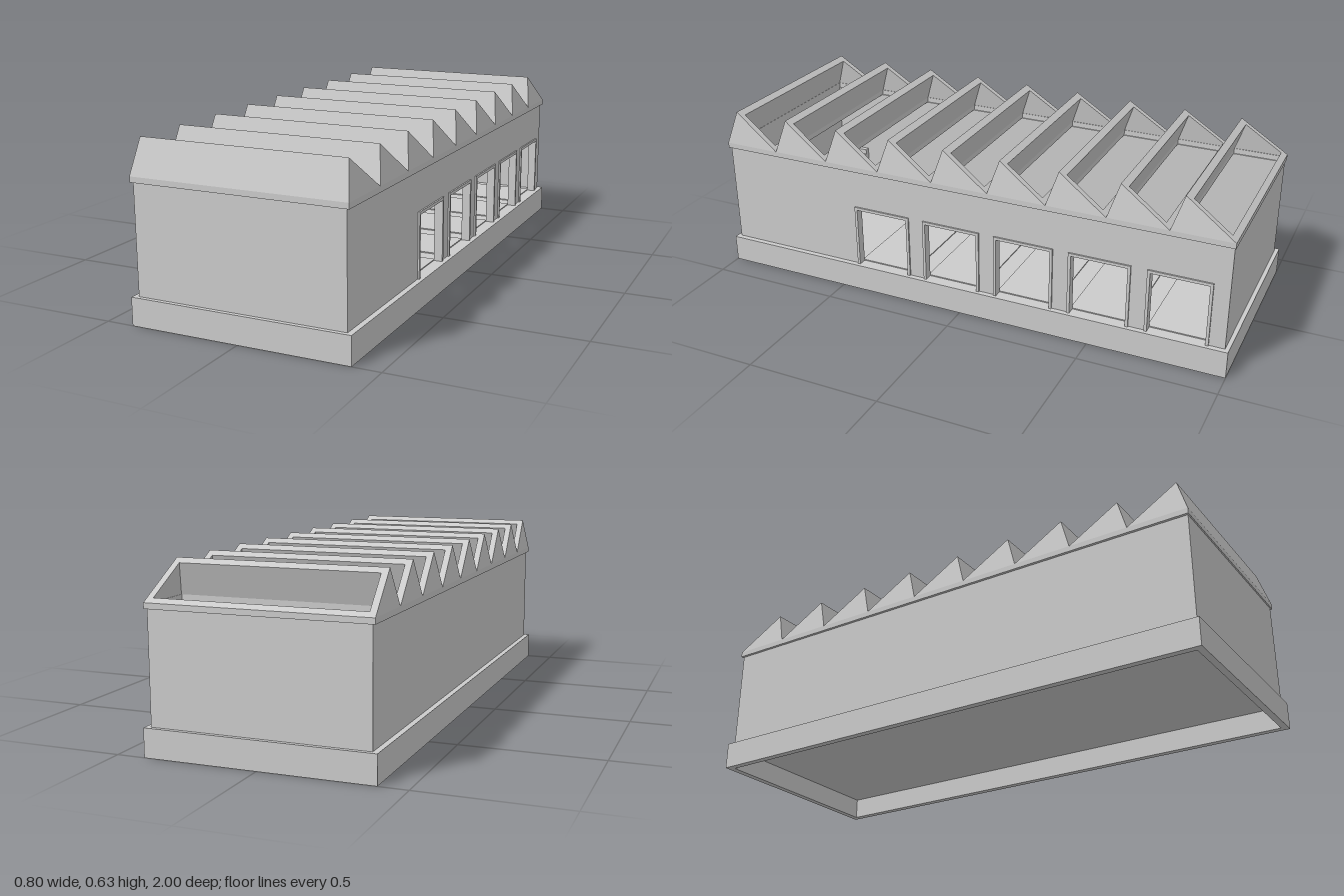
import * as THREE from 'three';

const material = new THREE.MeshStandardMaterial({ color: 0xcccccc, flatShading: true, side: THREE.DoubleSide });
const BASE = 0.1, EAVE = 0.485, SPRING = 0.505, RIDGE = 0.63;
const TEETH = 9, PITCH = 0.22;
const DOORS = [0.325, 0.04, -0.245, -0.53, -0.815];
const DOOR_W = 0.22, DOOR_TOP = 0.335;

function add(parent, name, geometry, x = 0, y = 0, z = 0) {
  const mesh = new THREE.Mesh(geometry, material);
  mesh.name = name;
  mesh.position.set(x, y, z);
  parent.add(mesh);
  return mesh;
}

function box(parent, name, x0, x1, y0, y1, z0, z1) {
  return add(parent, name, new THREE.BoxGeometry(x1 - x0, y1 - y0, z1 - z0),
    (x0 + x1) / 2, (y0 + y1) / 2, (z0 + z1) / 2);
}

// Rectangular frame lying flat, given half sizes and rim width
function rim(parent, name, hx, hz, width, y0, y1) {
  const rect = (a, b) => [[-a, -b], [a, -b], [a, b], [-a, b]].map(p => new THREE.Vector2(...p));
  const shape = new THREE.Shape(rect(hx, hz));
  shape.holes.push(new THREE.Path(rect(hx - width, hz - width)));
  const geometry = new THREE.ExtrudeGeometry(shape, { depth: y1 - y0, bevelEnabled: false });
  geometry.rotateX(-Math.PI / 2);
  return add(parent, name, geometry, 0, y0, 0);
}

// Upright (-z, y) outline extruded along x
function sideways(points, depth) {
  const shape = new THREE.Shape(points.map(p => new THREE.Vector2(...p)));
  return new THREE.ExtrudeGeometry(shape, { depth, bevelEnabled: false }).rotateY(Math.PI / 2);
}

// Convex (z, y) section spanning from xa(y) to xb(y), with xa < xb
function span(section, xa, xb) {
  const a = section.map(([z, y]) => [xa(y), y, z]);
  const b = section.map(([z, y]) => [xb(y), y, z]);
  const out = [];
  const n = section.length;
  for (let i = 0; i < n; i++) {
    const j = (i + 1) % n;
    out.push(a[i], a[j], b[j], a[i], b[j], b[i]);
    if (i > 0 && i < n - 1) out.push(b[0], b[i], b[j], a[0], a[j], a[i]);
  }
  const geometry = new THREE.BufferGeometry();
  geometry.setAttribute('position', new THREE.Float32BufferAttribute(out.flat(), 3));
  geometry.computeVertexNormals();
  return geometry;
}

// One sawtooth rooflight: steep front panel, open sloping back, leaning ends
function rooflight(parent, z) {
  const group = new THREE.Group();
  group.name = 'rooflight';
  group.position.z = z;
  parent.add(group);
  const outer = y => 0.39 - 0.02 * (y - SPRING) / (RIDGE - SPRING);
  const inner = y => outer(y) - 0.023;
  const slope = d => SPRING + (RIDGE - SPRING) * (PITCH - d) / (PITCH - 0.04);
  const head = [-0.062, slope(0.062)];
  const sill = [-0.2, slope(0.2)];
  add(group, 'steepPanel',
    span([[0, SPRING], [-0.024, SPRING], head, [-0.04, RIDGE]], y => -outer(y), outer));
  add(group, 'sillBar', span([[-0.2, SPRING], [-PITCH, SPRING], sill], y => -outer(y), outer));
  const end = [[-0.024, SPRING], [-0.2, SPRING], sill, head];
  add(group, 'rightEnd', span(end, y => -outer(y), y => -inner(y)));
  add(group, 'leftEnd', span(end, inner, outer));
}

export function createModel() {
  const model = new THREE.Group();
  model.name = 'sawtoothWorkshop';

  // Hollow plinth and floor
  rim(model, 'plinth', 0.4, 1, 0.025, 0, BASE);
  box(model, 'floor', -0.375, 0.375, 0.08, BASE, -0.975, 0.975);

  // Plain walls
  box(model, 'blankSideWall', -0.38, -0.36, BASE, EAVE, -0.985, 0.985);
  for (const s of [-1, 1]) {
    box(model, s > 0 ? 'frontWall' : 'backWall', -0.36, 0.36, BASE, EAVE,
      Math.min(s * 0.965, s * 0.985), Math.max(s * 0.965, s * 0.985));
  }

  // Wall notched with door openings
  const outline = [[-0.985, BASE]];
  for (const z of DOORS) {
    const l = -z - DOOR_W / 2, r = -z + DOOR_W / 2;
    outline.push([l, BASE], [l, DOOR_TOP], [r, DOOR_TOP], [r, BASE]);
  }
  outline.push([0.985, BASE], [0.985, EAVE], [-0.985, EAVE]);
  add(model, 'doorWall', sideways(outline, 0.02), 0.36);

  // Door surrounds and low floor bays behind them
  const h = DOOR_W / 2, t = 0.007;
  const surround = sideways([
    [-h - t / 2, BASE], [-h + t, BASE], [-h + t, DOOR_TOP - t], [h - t, DOOR_TOP - t],
    [h - t, BASE], [h + t / 2, BASE], [h + t / 2, DOOR_TOP + 0.004], [-h - t / 2, DOOR_TOP + 0.004],
  ], 0.032);
  for (const z of DOORS) {
    add(model, 'doorSurround', surround, 0.354, 0, z);
    box(model, 'floorBay', -0.13, 0.354, BASE, BASE + 0.004, z - h, z + h);
  }

  // Corner stair with landing
  const stair = new THREE.Group();
  stair.name = 'cornerStair';
  model.add(stair);
  for (let i = 0; i < 6; i++) {
    const x = -0.235 - i * 0.02;
    box(stair, 'step', x - 0.02, x, BASE, BASE + 0.02 * (i + 1), 0.83, 0.9);
  }
  box(stair, 'stairScreen', -0.216, -0.21, BASE, 0.22, 0.9, 0.965);
  box(stair, 'landing', -0.36, -0.21, 0.21, 0.22, 0.9, 0.965);

  // Eaves, valley beams and rooflights
  rim(model, 'eaves', 0.39, 0.99, 0.025, EAVE, SPRING);
  for (let i = 0; i < TEETH; i++) {
    const z = 0.99 - i * PITCH;
    if (i) box(model, 'valleyBeam', -0.365, 0.365, EAVE, SPRING, z - 0.024, z + 0.02);
    rooflight(model, z);
  }
  return model;
}
